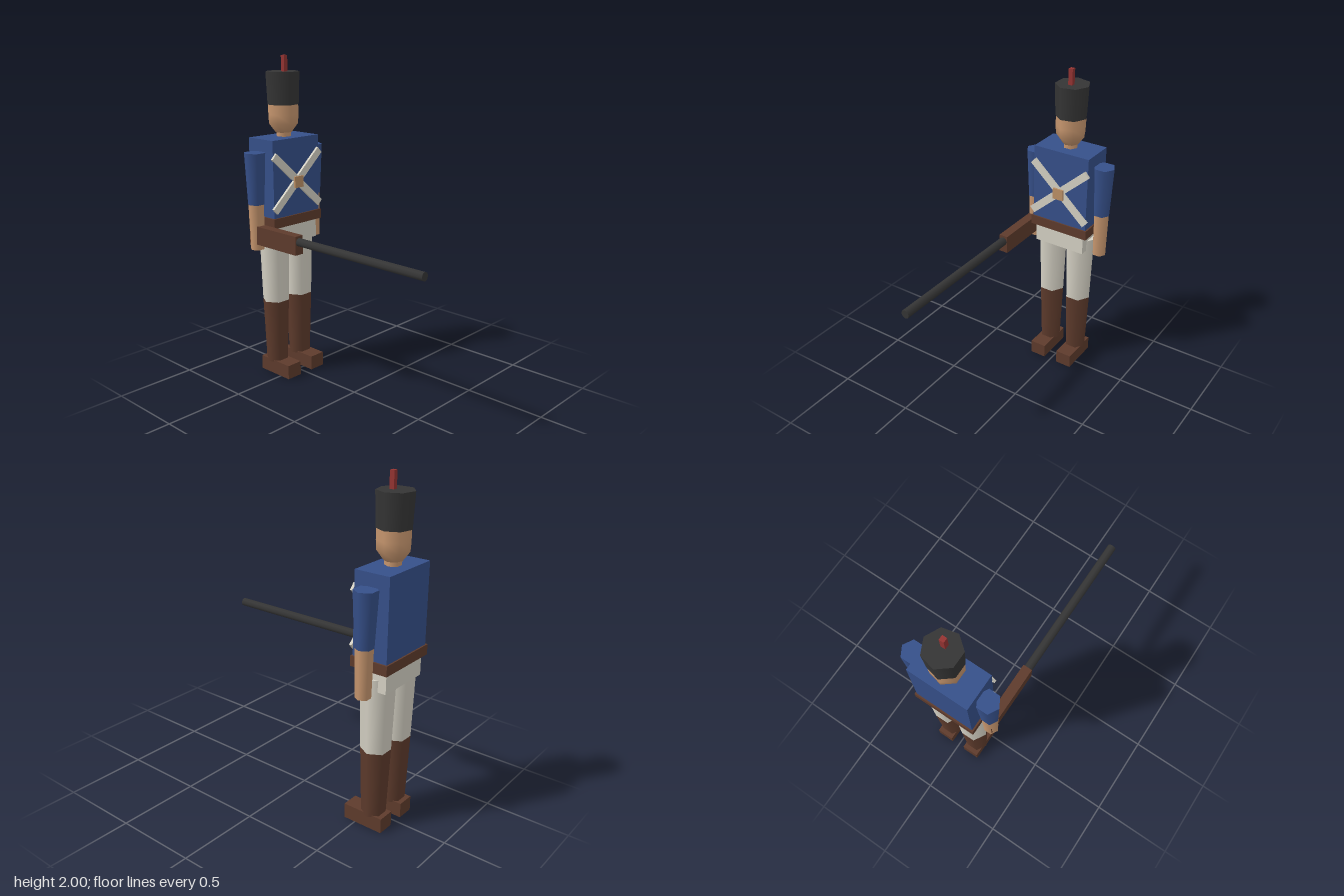
import * as THREE from 'three';

export function createModel() {
  const model = new THREE.Group();
  model.name = 'toySoldier';
  const mat = (name, color) => {
    const m = new THREE.MeshStandardMaterial({ color });
    m.name = name;
    return m;
  };
  const blue = mat('coat blue', 0x36508a);
  const white = mat('trouser white', 0xd6d2c5);
  const brown = mat('leather brown', 0x5e3b2c);
  const black = mat('hat black', 0x353535);
  const skin = mat('skin', 0xc8976f);
  const brass = mat('buckle tan', 0xbc9066);
  const red = mat('plume red', 0x943432);

  // The figure stands at the back, the gun reaches forward
  const Z = -0.588;

  const add = (name, geometry, material, x, y, z) => {
    const mesh = new THREE.Mesh(geometry, material);
    mesh.name = name;
    mesh.position.set(x, y, z);
    model.add(mesh);
    return mesh;
  };
  const box = (name, material, w, h, d, x, y, z) =>
    add(name, new THREE.BoxGeometry(w, h, d), material, x, y, z);
  // Upright tapered prism between two heights, one corner pointing to +x
  const prism = (name, material, rTop, rBottom, y0, y1, x, sides = 6) => {
    const g = new THREE.CylinderGeometry(rTop, rBottom, y1 - y0, sides);
    g.rotateY(Math.PI / 2);
    return add(name, g, material, x, (y0 + y1) / 2, Z);
  };

  // Torso, belt and hips
  box('torso', blue, 0.372, 0.472, 0.214, 0, 1.281, Z);
  box('belt', brown, 0.392, 0.06, 0.232, 0, 1.015, Z);
  box('hips', white, 0.336, 0.13, 0.194, 0, 0.933, Z);

  // Legs and arms
  for (const [side, s] of [['left', 1], ['right', -1]]) {
    prism(side + 'Thigh', white, 0.098, 0.085, 0.49, 0.935, s * 0.098);
    prism(side + 'Boot', brown, 0.085, 0.07, 0.08, 0.49, s * 0.098);
    box(side + 'Foot', brown, 0.105, 0.09, 0.252, s * 0.1, 0.045, -0.551);
    prism(side + 'Sleeve', blue, 0.067, 0.052, 1.13, 1.443, s * 0.235);
    prism(side + 'Forearm', skin, 0.05, 0.044, 0.85, 1.13, s * 0.235);
  }

  // Crossed chest straps with a square buckle
  for (const s of [1, -1]) {
    const strap = box(s > 0 ? 'risingStrap' : 'fallingStrap', white,
      0.5, 0.046, 0.016, 0, 1.257, -0.474 + s * 0.001);
    strap.rotation.z = s * 0.733;
  }
  box('buckle', brass, 0.07, 0.07, 0.014, 0, 1.25, -0.462);

  // Neck and head with a tapered jaw
  prism('neck', skin, 0.046, 0.046, 1.51, 1.57, 0);
  const profile = [[0, 1.54], [0.05, 1.542], [0.09, 1.597], [0.093, 1.65], [0.093, 1.72]]
    .map(([r, y]) => new THREE.Vector2(r, y));
  const head = new THREE.LatheGeometry(profile, 7);
  head.rotateY(Math.PI / 2);
  add('head', head, skin, 0, 0, Z);

  // Tall hat and plume
  prism('hat', black, 0.104, 0.096, 1.71, 1.905, 0, 7);
  box('plume', red, 0.027, 0.11, 0.027, 0, 1.945, -0.569);

  // Gun held in the right hand
  box('gunStock', brown, 0.057, 0.113, 0.406, -0.235, 0.944, -0.42);
  const barrel = new THREE.CylinderGeometry(0.026, 0.026, 0.95, 8);
  barrel.rotateX(Math.PI / 2);
  add('gunBarrel', barrel, black, -0.235, 0.964, 0.228);

  return model;
}
